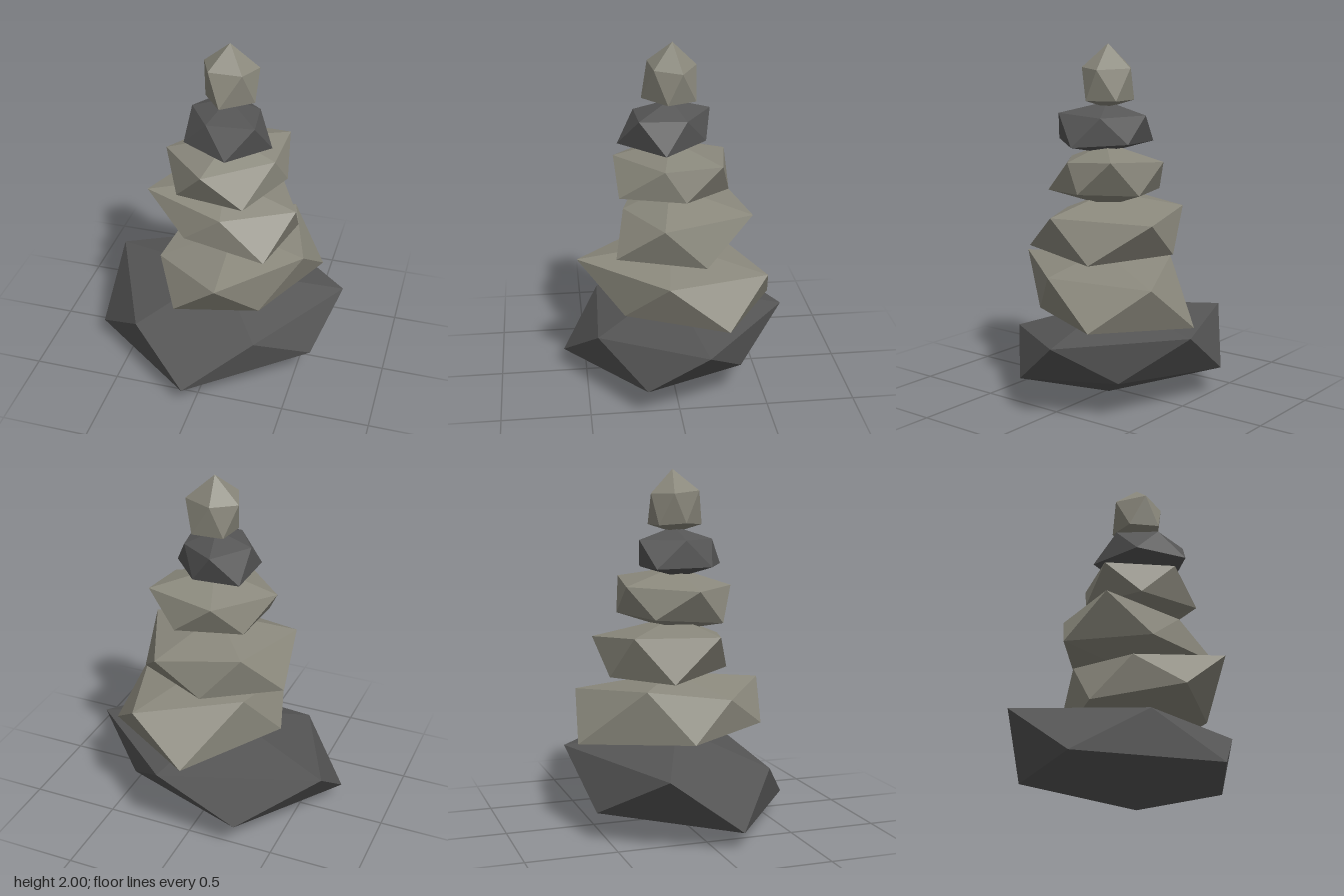
import * as THREE from 'three';

// One faceted stone: a bent icosahedron with a top point, an upper ring,
// a lower ring and a bottom point. Rings run front, +x, back, -x.
function stone(name, material, top, upper, lower, bottom) {
  const pos = [];
  const tri = (a, b, c) => pos.push(...a, ...b, ...c);
  for (let i = 0; i < 5; i++) {
    const j = (i + 1) % 5;
    tri(top, upper[i], upper[j]);
    tri(upper[i], lower[i], lower[j]);
    tri(lower[j], upper[j], upper[i]);
    tri(bottom, lower[j], lower[i]);
  }
  const geo = new THREE.BufferGeometry();
  geo.setAttribute('position', new THREE.Float32BufferAttribute(pos, 3));
  geo.computeVertexNormals(); // unshared corners give flat facets
  const mesh = new THREE.Mesh(geo, material);
  mesh.name = name;
  return mesh;
}

export function createModel() {
  const group = new THREE.Group();
  group.name = 'stoneCairn';
  const light = new THREE.MeshStandardMaterial({ color: 0x8a887c });
  light.name = 'lightStone';
  const dark = new THREE.MeshStandardMaterial({ color: 0x555555 });
  dark.name = 'darkStone';

  // Wide dark base
  group.add(stone('baseStone', dark, [0, 0.53, 0],
    [[0.31, 0.38, 0.44], [0.71, 0.435, -0.14], [0.13, 0.445, -0.635], [-0.71, 0.41, -0.28], [-0.4, 0.35, 0.41]],
    [[-0.06, 0.11, 0.63], [0.59, 0.18, 0.185], [0.41, 0.21, -0.36], [-0.3, 0.16, -0.56], [-0.71, 0.1, 0.135]],
    [0.05, 0, -0.02]));

  // Three light stones, shrinking upward
  group.add(stone('secondStone', light, [0.08, 0.84, 0],
    [[0.11, 0.78, 0.54], [0.5, 0.75, 0.055], [0.33, 0.73, -0.515], [-0.23, 0.79, -0.25], [-0.3, 0.73, 0.22]],
    [[-0.15, 0.555, 0.46], [0.3, 0.505, 0.285], [0.56, 0.505, -0.27], [0.015, 0.47, -0.58], [-0.37, 0.505, -0.015]],
    [0.02, 0.44, 0]));
  group.add(stone('thirdStone', light, [0.03, 1.17, 0],
    [[0.065, 1.06, 0.27], [0.45, 1.07, 0.075], [0.22, 1.05, -0.44], [-0.24, 1.09, -0.325], [-0.4, 1.1, 0.115]],
    [[-0.15, 0.895, 0.245], [0.33, 0.87, 0.33], [0.42, 0.83, -0.16], [-0.03, 0.85, -0.405], [-0.43, 0.86, -0.155]],
    [0.05, 0.78, 0]));
  group.add(stone('fourthStone', light, [0.05, 1.45, 0],
    [[-0.03, 1.345, 0.315], [0.32, 1.36, 0.06], [0.335, 1.385, -0.25], [-0.06, 1.355, -0.315], [-0.31, 1.34, 0.03]],
    [[-0.2, 1.15, 0.205], [0.2, 1.175, 0.3], [0.37, 1.2, -0.05], [0.16, 1.19, -0.31], [-0.2, 1.18, -0.19]],
    [0.04, 1.09, 0]));

  // Small dark stone
  group.add(stone('fifthStone', dark, [0.04, 1.68, 0],
    [[0.235, 1.62, 0.19], [0.2, 1.6, -0.075], [-0.015, 1.61, -0.225], [-0.165, 1.61, 0], [-0.03, 1.61, 0.2]],
    [[0.1, 1.46, 0.3], [0.3, 1.44, 0.05], [0.1, 1.455, -0.19], [-0.165, 1.455, -0.17], [-0.17, 1.46, 0.15]],
    [0.04, 1.39, 0.02]));

  // Pointed light stone on top
  group.add(stone('topStone', light, [0.045, 2, -0.01],
    [[0.14, 1.87, 0.1], [0.2, 1.86, -0.05], [0.02, 1.865, -0.145], [-0.11, 1.865, -0.05], [-0.04, 1.88, 0.12]],
    [[0.03, 1.69, 0.16], [0.195, 1.69, 0.03], [0.13, 1.69, -0.13], [-0.05, 1.69, -0.12], [-0.08, 1.7, 0.03]],
    [0.04, 1.645, 0]));

  return group;
}
